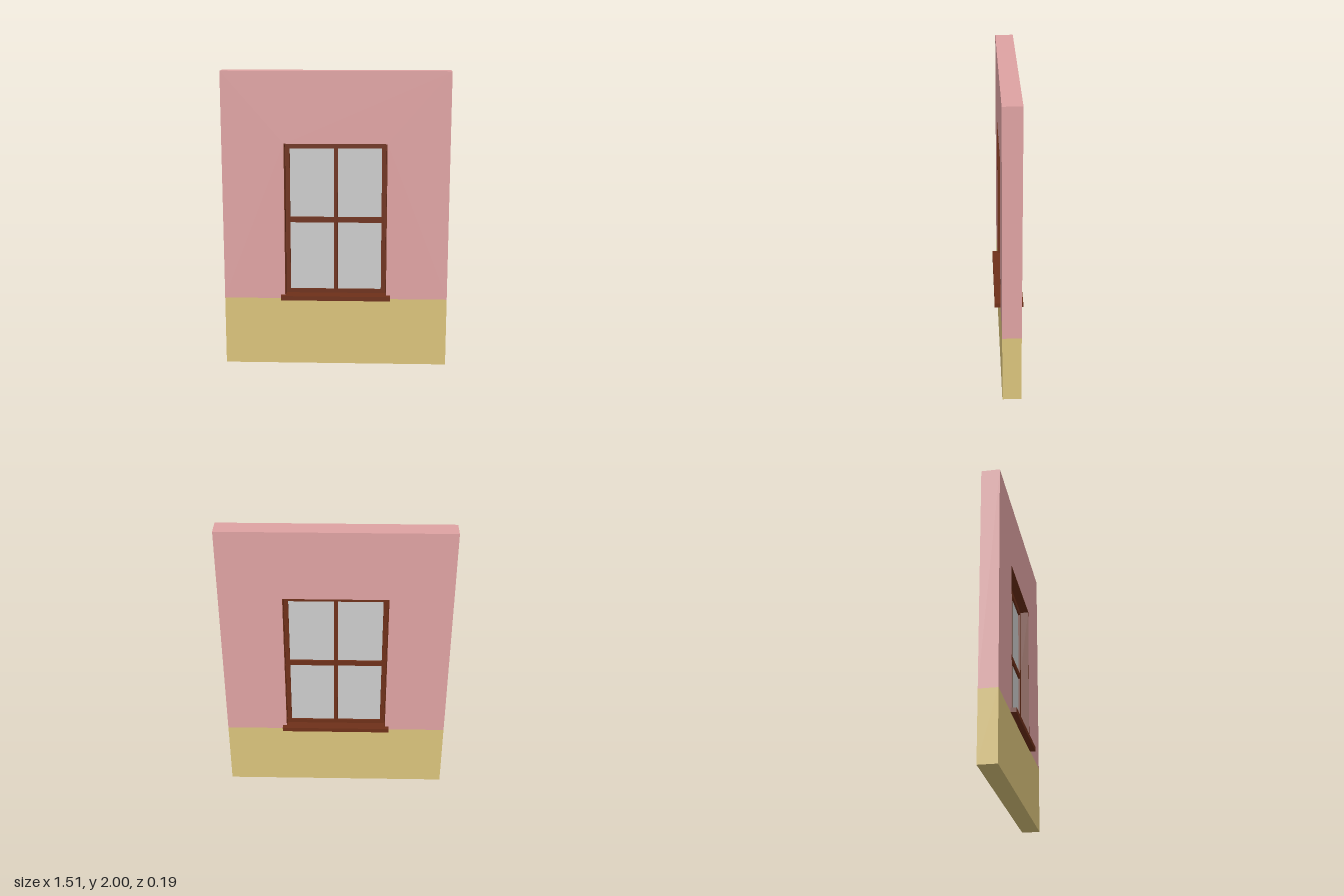
import * as THREE from 'three';

const material = (color) => new THREE.MeshStandardMaterial({ color });

export function createModel() {
  const model = new THREE.Group();
  model.name = 'wallWithWindow';
  const pink = material(0xdea2a2);
  const ochre = material(0xdac37b);
  const wood = material(0x6e3019);
  const grey = material(0xcccccc);

  const add = (name, geometry, mat, parent = model) => {
    const mesh = new THREE.Mesh(geometry, mat);
    mesh.name = name;
    parent.add(mesh);
    return mesh;
  };
  // Box given by its limits on each axis
  const box = (name, [x0, x1], [y0, y1], [z0, z1], mat, parent) => {
    const mesh = add(name, new THREE.BoxGeometry(x1 - x0, y1 - y0, z1 - z0), mat, parent);
    mesh.position.set((x0 + x1) / 2, (y0 + y1) / 2, (z0 + z1) / 2);
  };
  // Rectangular plate with a rectangular hole, extruded from z0 to z1
  const ring = (name, outer, inner, z0, z1, mat, parent) => {
    const corners = ([w, b, t]) => [[-w, b], [w, b], [w, t], [-w, t]].map((p) => new THREE.Vector2(...p));
    const shape = new THREE.Shape(corners(outer));
    shape.holes.push(new THREE.Path(corners(inner)));
    const geometry = new THREE.ExtrudeGeometry(shape, { depth: z1 - z0, bevelEnabled: false });
    geometry.translate(0, 0, z0);
    add(name, geometry, mat, parent);
  };

  // Wall: painted base and upper part with the window opening
  const front = 0.057, back = -0.066, split = 0.465, halfWidth = 0.755;
  box('lowerWall', [-halfWidth, halfWidth], [0, split], [back, front], ochre);
  ring('upperWall', [halfWidth, split, 2], [0.343, 0.482, 1.525], back, front, pink);

  // Window: wooden lining of the opening, frame, glazing bars and panes
  const win = new THREE.Group();
  win.name = 'window';
  model.add(win);
  ring('lining', [0.343, 0.482, 1.525], [0.338, 0.49, 1.52], back, front, wood, win);
  const frameZ = [-0.03, 0.0];
  ring('frame', [0.34, 0.486, 1.522], [0.308, 0.517, 1.487], ...frameZ, wood, win);
  box('verticalBar', [-0.013, 0.013], [0.517, 1.487], frameZ, wood, win);
  for (const side of [-1, 1]) {
    const xs = [side * 0.013, side * 0.308].sort((a, b) => a - b);
    box('horizontalBar', xs, [0.983, 1.02], frameZ, wood, win);
    for (const ys of [[0.517, 0.983], [1.02, 1.487]]) {
      box('pane', xs, ys, [-0.018, -0.012], grey, win);
    }
  }

  // Sills on both faces of the wall
  box('outerSill', [-0.37, 0.37], [0.46, 0.49], [front, 0.095], wood, win);
  box('innerSill', [-0.37, 0.37], [0.46, 0.49], [-0.095, back], wood, win);

  return model;
}
